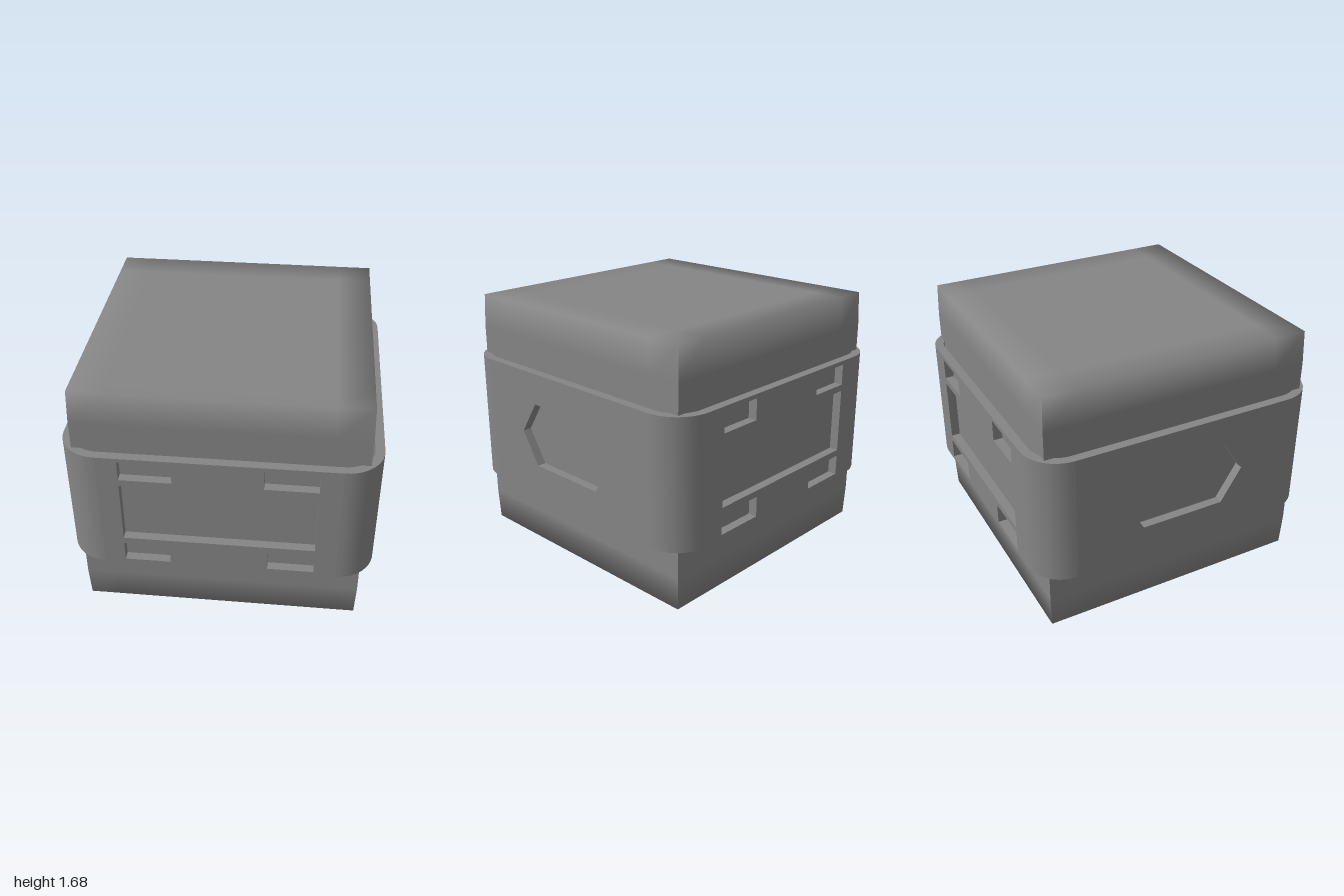
import * as THREE from 'three';
import { toCreasedNormals } from 'three/addons/utils/BufferGeometryUtils.js';

const BAND_MID = 0.841, BAND_HALF = 0.431; // band centre height and half height
const OUTER = 1, INNER = 0.94, FLAT = 0.755; // band faces and where its corners start

const material = new THREE.MeshStandardMaterial({ color: 0x858585 });

function addMesh(parent, name, geometry) {
  const mesh = new THREE.Mesh(geometry, material);
  mesh.name = name;
  parent.add(mesh);
  return mesh;
}

// Crate block: support loops near the top and bottom, soft shading over those edges and corners
function blockGeometry(half, height) {
  const inset = 0.22;
  const geo = new THREE.BoxGeometry(2, 2, 2, 3, 3, 3);
  const pos = geo.attributes.position, nor = geo.attributes.normal;
  const p = new THREE.Vector3(), n = new THREE.Vector3();
  const isEnd = (v) => Math.abs(v) > 0.9;
  const place = (v, h) => Math.sign(v) * (isEnd(v) ? h : h - inset);
  const outward = (v) => (isEnd(v) ? Math.sign(v) : 0);
  for (let i = 0; i < pos.count; i++) {
    p.fromBufferAttribute(pos, i);
    if (isEnd(p.y)) {
      n.set(outward(p.x), outward(p.y), outward(p.z)).normalize();
      nor.setXYZ(i, n.x, n.y, n.z);
    }
    const h = isEnd(p.y) ? half - 0.008 : half; // ends draw in a little
    pos.setXYZ(i, place(p.x, h), place(p.y, height / 2), place(p.z, h));
  }
  return geo.translate(0, height / 2, 0);
}

// Flat wall of the band with cut-outs, facing +z
function panelGeometry(holes) {
  const outline = (pts) => pts.map(([x, y]) => new THREE.Vector2(x, y));
  const shape = new THREE.Shape(outline([
    [-FLAT, -BAND_HALF], [FLAT, -BAND_HALF], [FLAT, BAND_HALF], [-FLAT, BAND_HALF],
  ]));
  for (const h of holes) shape.holes.push(new THREE.Path(outline(h)));
  return new THREE.ExtrudeGeometry(shape, { depth: OUTER - INNER, bevelEnabled: false })
    .translate(0, 0, INNER);
}

const rect = (x0, x1, y0, y1) => [[x0, y0], [x0, y1], [x1, y1], [x1, y0]]
  .map(([x, y]) => [x, y - BAND_MID]);

export function createModel() {
  const model = new THREE.Group();
  model.name = 'crate';

  addMesh(model, 'block', blockGeometry(0.913, 1.68));

  const band = new THREE.Group();
  band.name = 'band';
  band.position.y = BAND_MID;
  model.add(band);

  // Front and back walls: large window with a slot at each corner
  const windowed = panelGeometry([
    rect(-0.617, 0.613, 0.625, 1.063),
    rect(-0.617, -0.285, 1.107, 1.246),
    rect(0.28, 0.617, 1.107, 1.246),
    rect(-0.617, -0.318, 0.438, 0.58),
    rect(0.313, 0.613, 0.438, 0.58),
  ]);
  addMesh(band, 'frontPanel', windowed);
  addMesh(band, 'backPanel', windowed).rotation.x = Math.PI;

  // Side walls: six-sided window
  const hexagon = panelGeometry([[
    [-0.428, 0.0], [-0.285, 0.22], [0.295, 0.22], [0.428, 0.012], [0.285, -0.217], [-0.29, -0.217],
  ]]);
  addMesh(band, 'leftPanel', hexagon).rotation.y = Math.PI / 2;
  addMesh(band, 'rightPanel', hexagon).rotation.y = -Math.PI / 2;

  // Rounded corners of the band
  const ro = OUTER - FLAT, ri = INNER - FLAT;
  const section = [[ro, -1], [ro, 1], [ri, 1], [ri, -1], [ro, -1]]
    .map(([r, s]) => new THREE.Vector2(r, s * BAND_HALF));
  const corner = toCreasedNormals(
    new THREE.LatheGeometry(section, 10, 0, Math.PI / 2), 0.6,
  ).translate(FLAT, 0, FLAT);
  for (let i = 0; i < 4; i++) {
    addMesh(band, 'bandCorner', corner).rotation.y = (i * Math.PI) / 2;
  }

  return model;
}
